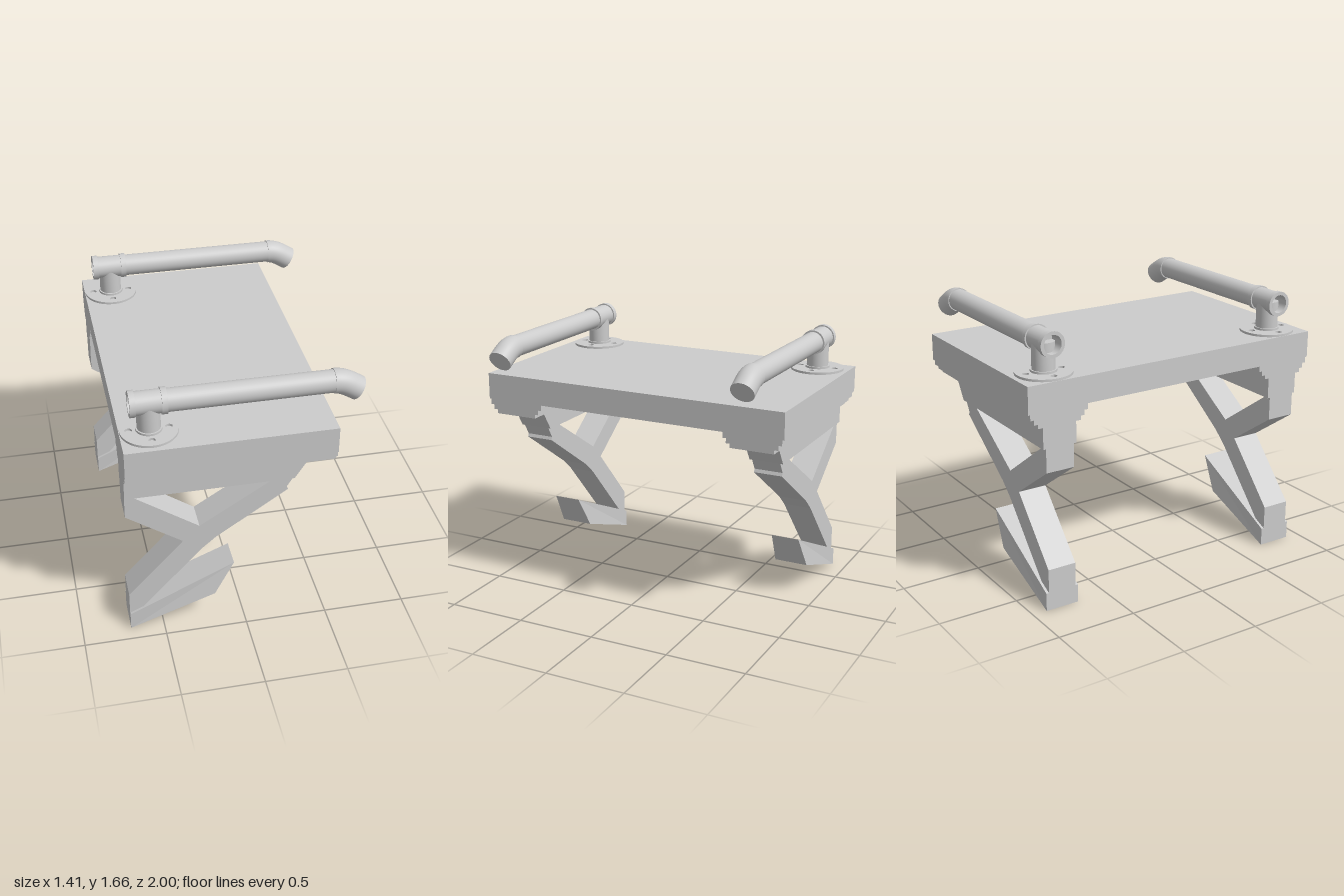
import * as THREE from 'three';
import { toCreasedNormals } from 'three/addons/utils/BufferGeometryUtils.js';

const material = new THREE.MeshStandardMaterial({ color: 0xcccccc });
const BACK = -0.705, FRONT = 0.515, PIPE_Y = 1.585, POST_X = -0.535;

function add(parent, name, geometry, x = 0, y = 0, z = 0) {
  const mesh = new THREE.Mesh(geometry, material);
  mesh.name = name;
  mesh.position.set(x, y, z);
  parent.add(mesh);
  return mesh;
}

// Side profile in x/y given a thickness centred on z = 0
function plate(points, half) {
  const shape = new THREE.Shape(points.map(([x, y]) => new THREE.Vector2(x, y)));
  const g = new THREE.ExtrudeGeometry(shape, { depth: half * 2, bevelEnabled: false });
  return g.translate(0, 0, -half);
}

// Turned part with crisp edges; points are [radius, height]
function turned(points) {
  const g = new THREE.LatheGeometry(points.map(([r, y]) => new THREE.Vector2(r, y)), 40);
  return toCreasedNormals(g, 0.6);
}

function createSupport() {
  const support = new THREE.Group();

  // Stepped moulding under the slab
  const steps = [[1.23, 1.195, 0.185], [1.195, 1.165, 0.163], [1.165, 1.14, 0.138]];
  for (const [top, bottom, half] of steps) {
    const g = new THREE.BoxGeometry(FRONT - BACK, top - bottom, half * 2);
    add(support, 'mouldingStep', g, (FRONT + BACK) / 2, (top + bottom) / 2, 0);
  }

  // Rail and its thin front lip
  add(support, 'rail', plate([
    [BACK, 1.01], [0.29, 1.01], [0.36, 1.12], [0.372, 1.14], [BACK, 1.14],
  ], 0.107));
  add(support, 'railLip', plate([[0.3, 1.112], [0.36, 1.12], [FRONT, 1.14], [0.3, 1.14]], 0.09));

  // Forked strut
  add(support, 'strut', plate([
    [BACK, 0.11], [-0.63, 0.14], [-0.26, 0.55], [-0.17, 0.63], [0.258, 0.922], [0.25, 0.942],
    [0.29, 1.01], [0.17, 1.01], [-0.27, 0.73], [-0.665, 1.01], [BACK, 1.01], [BACK, 0.865],
    [-0.37, 0.63], [BACK, 0.26],
  ], 0.09));

  // Foot, narrowing towards its raised tip
  const foot = plate([[BACK, 0], [-0.18, 0.19], [-0.06, 0.405], [BACK, 0.113]], 0.107);
  const p = foot.attributes.position;
  for (let i = 0; i < p.count; i++) {
    if (p.getX(i) > -0.1) p.setZ(i, p.getZ(i) * 0.84);
  }
  foot.computeVertexNormals();
  add(support, 'foot', foot);
  return support;
}

function createHandle() {
  const handle = new THREE.Group();

  // Round flange with four screw holes
  const disc = new THREE.Shape().absarc(0, 0, 0.167, 0, Math.PI * 2);
  for (let i = 0; i < 4; i++) {
    const a = i * Math.PI / 2;
    const hole = new THREE.Path();
    hole.absarc(Math.cos(a) * 0.115, Math.sin(a) * 0.115, 0.02, 0, Math.PI * 2, true);
    disc.holes.push(hole);
  }
  const flange = new THREE.ExtrudeGeometry(disc, { depth: 0.015, bevelEnabled: false, curveSegments: 32 });
  flange.rotateX(-Math.PI / 2);
  add(handle, 'flange', toCreasedNormals(flange, 0.6), POST_X, 1.394, 0);

  // Post with a low collar
  add(handle, 'post', turned([
    [0, 1.4], [0.077, 1.4], [0.077, 1.422], [0.068, 1.422], [0.068, PIPE_Y], [0, PIPE_Y],
  ]), POST_X, 0, 0);

  // Tee fitting with an open back end
  add(handle, 'tee', turned([
    [0, -0.54], [0.056, -0.54], [0.056, -0.645], [0.077, -0.645], [0.077, -0.612], [0.069, -0.612],
    [0.069, -0.465], [0.077, -0.465], [0.077, -0.432], [0, -0.432],
  ]).rotateZ(-Math.PI / 2), 0, PIPE_Y, 0);

  // Straight bar
  const bar = new THREE.CylinderGeometry(0.067, 0.067, 1.0, 40).rotateZ(-Math.PI / 2);
  add(handle, 'bar', bar, 0.05, PIPE_Y, 0);

  // Bent end
  const v = (x, y) => new THREE.Vector3(x, y, 0);
  const bendEnd = v(0.61, 1.557), tip = v(0.667, 1.522);
  const path = new THREE.CurvePath();
  path.add(new THREE.QuadraticBezierCurve3(v(0.52, PIPE_Y), v(0.564, PIPE_Y), bendEnd));
  path.add(new THREE.LineCurve3(bendEnd, tip));
  add(handle, 'elbow', new THREE.TubeGeometry(path, 16, 0.073, 40));
  const ends = [[v(0.52, PIPE_Y), v(-1, 0)], [tip, tip.clone().sub(bendEnd).normalize()]];
  for (const [at, dir] of ends) {
    const cap = add(handle, 'elbowCap', new THREE.CircleGeometry(0.073, 40), at.x, at.y, 0);
    cap.quaternion.setFromUnitVectors(new THREE.Vector3(0, 0, 1), dir);
  }
  return handle;
}

export function createModel() {
  const model = new THREE.Group();
  model.name = 'bracketedShelf';

  // Slab
  add(model, 'slab', new THREE.BoxGeometry(FRONT - BACK, 0.165, 2), (FRONT + BACK) / 2, 1.3125, 0);

  // Matching support and handle at each end
  for (const [side, z] of [['left', 0.803], ['right', -0.803]]) {
    const support = createSupport();
    support.name = side === 'left' ? 'frontSupport' : 'backSupport';
    const handle = createHandle();
    handle.name = side === 'left' ? 'frontHandle' : 'backHandle';
    support.position.z = handle.position.z = z;
    model.add(support, handle);
  }
  return model;
}
